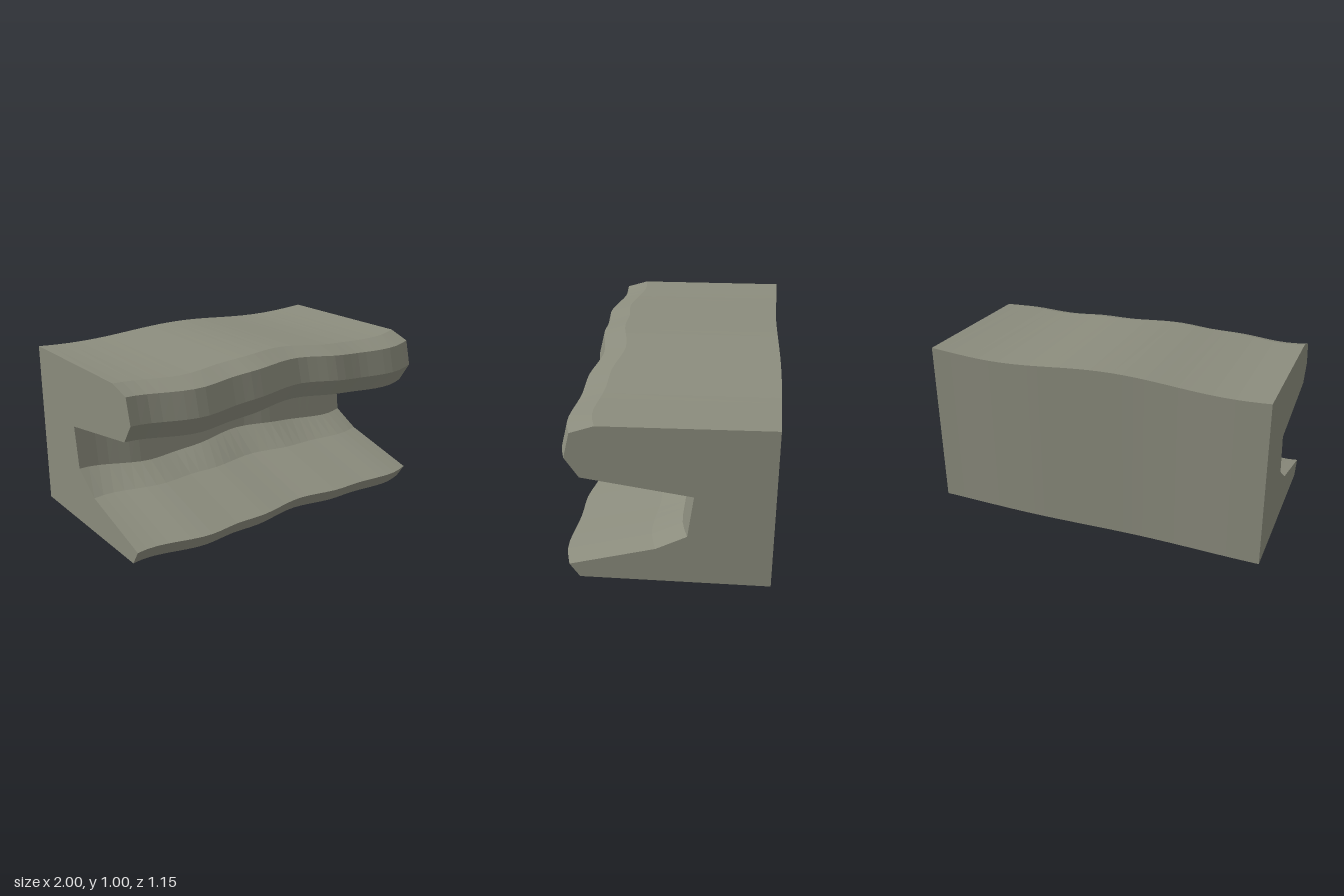
import * as THREE from 'three';

const SEGMENTS = 32;

// Crests and troughs of the front face's in-and-out wobble: [x, z offset]
const WOBBLE = [
  [-1.2, 0.01], [-0.92, -0.035], [-0.57, 0.031], [-0.35, 0.008], [-0.22, 0.012], [0.12, -0.037],
  [0.42, 0.01], [0.54, 0.008], [0.83, 0.033], [1.15, -0.035],
];

// Cross-section, counter-clockwise in (z, y): [z, y, height wave, wave phase]
const PROFILE = [
  [-0.57, 0, 0, 0],             // back foot
  [0.488, 0, 0, 0],             // front foot
  [0.542, 0.085, 0, 0],         // lower ledge lip
  [0.067, 0.22, 0, 0],          // ledge slope
  [-0.103, 0.33, 0.019, 0.2],   // foot of hollow
  [-0.138, 0.583, 0.018, 0.12], // roof of hollow
  [0.452, 0.673, 0.019, 0.09],  // underside of overhang
  [0.524, 0.784, 0.019, 0.03],  // overhang nose
  [0.487, 0.929, 0.018, 0],     // brow
  [0.357, 0.972, 0.018, -0.04], // top front edge
  [-0.57, 0.982, 0.018, -0.08], // top back edge
];

function wobble(x) {
  const i = WOBBLE.findIndex(([end]) => end > x);
  const [x0, a] = WOBBLE[i - 1];
  const [x1, b] = WOBBLE[i];
  return THREE.MathUtils.lerp(a, b, THREE.MathUtils.smoothstep(x, x0, x1));
}

// The rippled cross-section at one position along x
function section(x) {
  return PROFILE.map(([z, y, wave, phase]) => {
    const dz = z < -0.5 ? 0.008 * Math.cos(4.5 * (x + 0.3)) : wobble(x);
    return new THREE.Vector3(x, y + wave * Math.cos(4.5 * (x - phase)), z + dz);
  });
}

function faceted(points) {
  const geometry = new THREE.BufferGeometry().setFromPoints(points);
  geometry.computeVertexNormals();
  return geometry;
}

export function createModel() {
  const group = new THREE.Group();
  group.name = 'rockOverhang';
  const stone = new THREE.MeshStandardMaterial({ color: 0x8b8c7d, flatShading: true });
  stone.name = 'grey stone';

  const add = (name, points) => {
    const mesh = new THREE.Mesh(faceted(points), stone);
    mesh.name = name;
    group.add(mesh);
  };

  const rings = Array.from({ length: SEGMENTS + 1 }, (_, i) => section(-1 + (2 * i) / SEGMENTS));

  // Outer surface, lofted between neighbouring sections
  const skin = [];
  for (let i = 0; i < SEGMENTS; i++) {
    const [r, s] = [rings[i], rings[i + 1]];
    for (let k = 0; k < PROFILE.length; k++) {
      const n = (k + 1) % PROFILE.length;
      skin.push(r[k], s[n], r[n], r[k], s[k], s[n]);
    }
  }
  add('rockFace', skin);

  // Flat cut ends
  const cap = (ring, flip) => {
    const outline = ring.map((p) => new THREE.Vector2(p.z, p.y));
    return THREE.ShapeUtils.triangulateShape(outline, []).flatMap(([a, b, c]) =>
      (flip ? [a, c, b] : [a, b, c]).map((i) => ring[i]));
  };
  add('rightEnd', cap(rings[0], false));
  add('leftEnd', cap(rings[SEGMENTS], true));

  return group;
}
